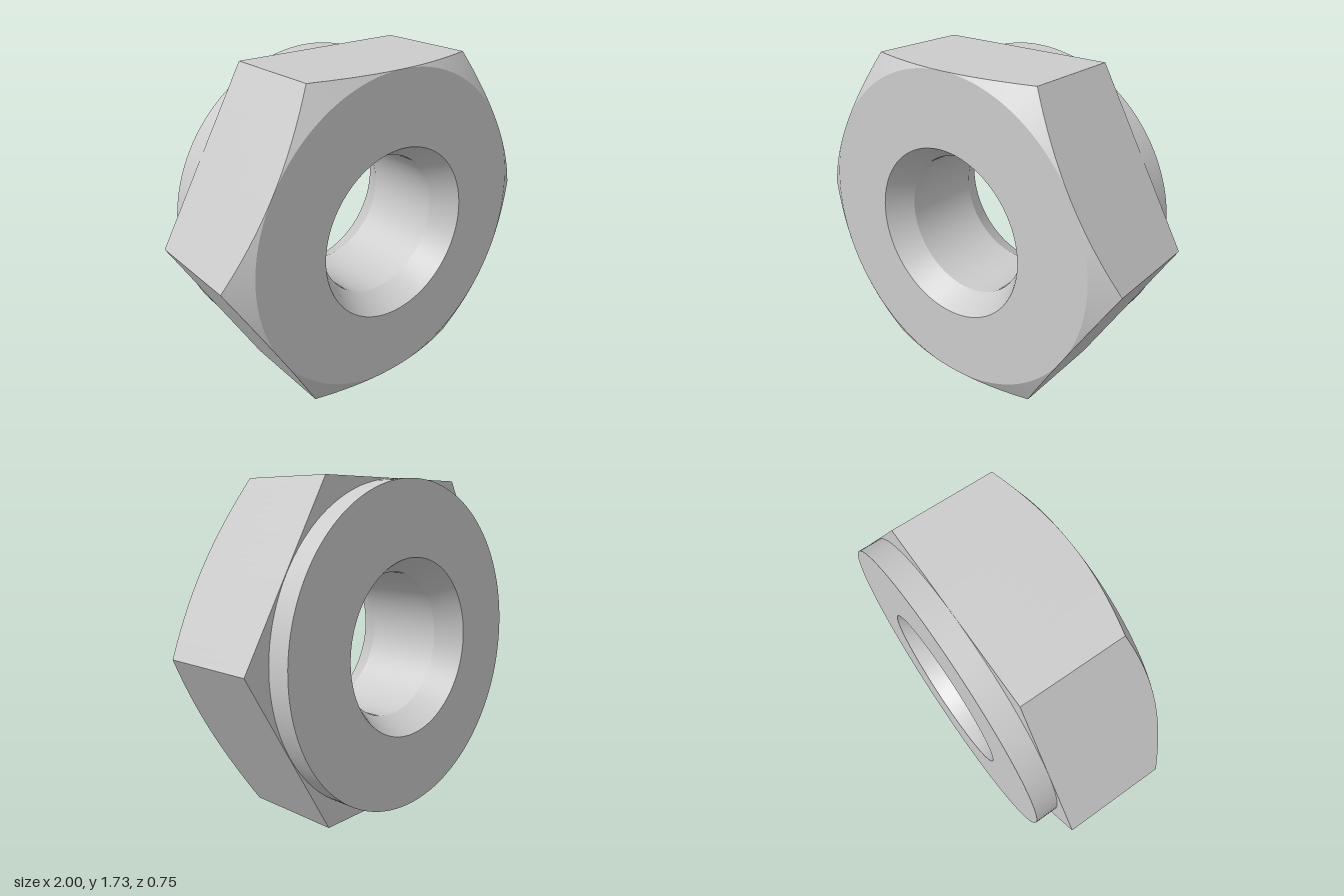
import * as THREE from 'three';
import { mergeGeometries } from 'three/addons/utils/BufferGeometryUtils.js';

const SEGMENTS = 144;             // multiple of 12, so the hex corners fall on vertices
const APOTHEM = Math.sqrt(3) / 2; // centre to flat; centre to corner is 1
const FRONT = 0.375, BACK = -0.375, HEX_BACK = -0.25;
const COLLAR_R = 0.863, RIM_R = 0.47, BORE_R = 0.388, SINK = 0.145;
const CHAMFER = Math.tan(Math.PI / 6);

// One revolved band; separate bands keep the edges between them sharp
const band = (r0, y0, r1, y1) =>
  new THREE.LatheGeometry([new THREE.Vector2(r0, y0), new THREE.Vector2(r1, y1)], SEGMENTS);

// Distance from the axis to the hexagon outline at an angle
function hexRadius(angle) {
  const sixth = Math.PI / 3;
  return APOTHEM / Math.cos(angle - Math.round(angle / sixth) * sixth);
}

const chamferHeight = (r) => FRONT - (r - APOTHEM) * CHAMFER;

// Push the chosen ends (0 = first, 1 = second) of a band out to the hexagon
function toHex(geometry, ends, height) {
  const p = geometry.attributes.position;
  for (let i = 0; i <= SEGMENTS; i++) {
    const angle = (i / SEGMENTS) * Math.PI * 2;
    const r = hexRadius(angle);
    for (const end of ends) {
      p.setXYZ(i * 2 + end, r * Math.sin(angle), height(r, end), r * Math.cos(angle));
    }
  }
  return geometry;
}

export function createModel() {
  const model = new THREE.Group();
  model.name = 'hexNut';
  const material = new THREE.MeshStandardMaterial({ color: 0xcccccc });

  function add(name, ...bands) {
    const mesh = new THREE.Mesh(mergeGeometries(bands), material);
    mesh.name = name;
    mesh.rotation.x = Math.PI / 2; // lathe axis to +z
    mesh.position.y = APOTHEM;
    model.add(mesh);
  }

  // Six flats, with the curved top edge left by the chamfer cone
  const flats = toHex(band(1, HEX_BACK, 1, FRONT), [0, 1],
    (r, end) => (end ? chamferHeight(r) : HEX_BACK)).toNonIndexed();
  flats.computeVertexNormals();
  add('hexFlats', flats);

  // Conical chamfer on the front corners
  add('cornerChamfer', toHex(band(1, chamferHeight(1), APOTHEM, FRONT), [0], chamferHeight));

  // Flat front ring, and the hexagon's back around the collar
  add('frontFace', band(APOTHEM, FRONT, RIM_R, FRONT));
  add('hexBackFace', toHex(band(COLLAR_R, HEX_BACK, 1, HEX_BACK), [1], () => HEX_BACK));

  // Round collar on the back
  add('collar',
    band(RIM_R, BACK, COLLAR_R, BACK),
    band(COLLAR_R, BACK, COLLAR_R, HEX_BACK));

  // Bore, countersunk at both ends
  add('bore',
    band(RIM_R, FRONT, BORE_R, FRONT - SINK),
    band(BORE_R, FRONT - SINK, BORE_R, BACK + SINK),
    band(BORE_R, BACK + SINK, RIM_R, BACK));

  return model;
}
